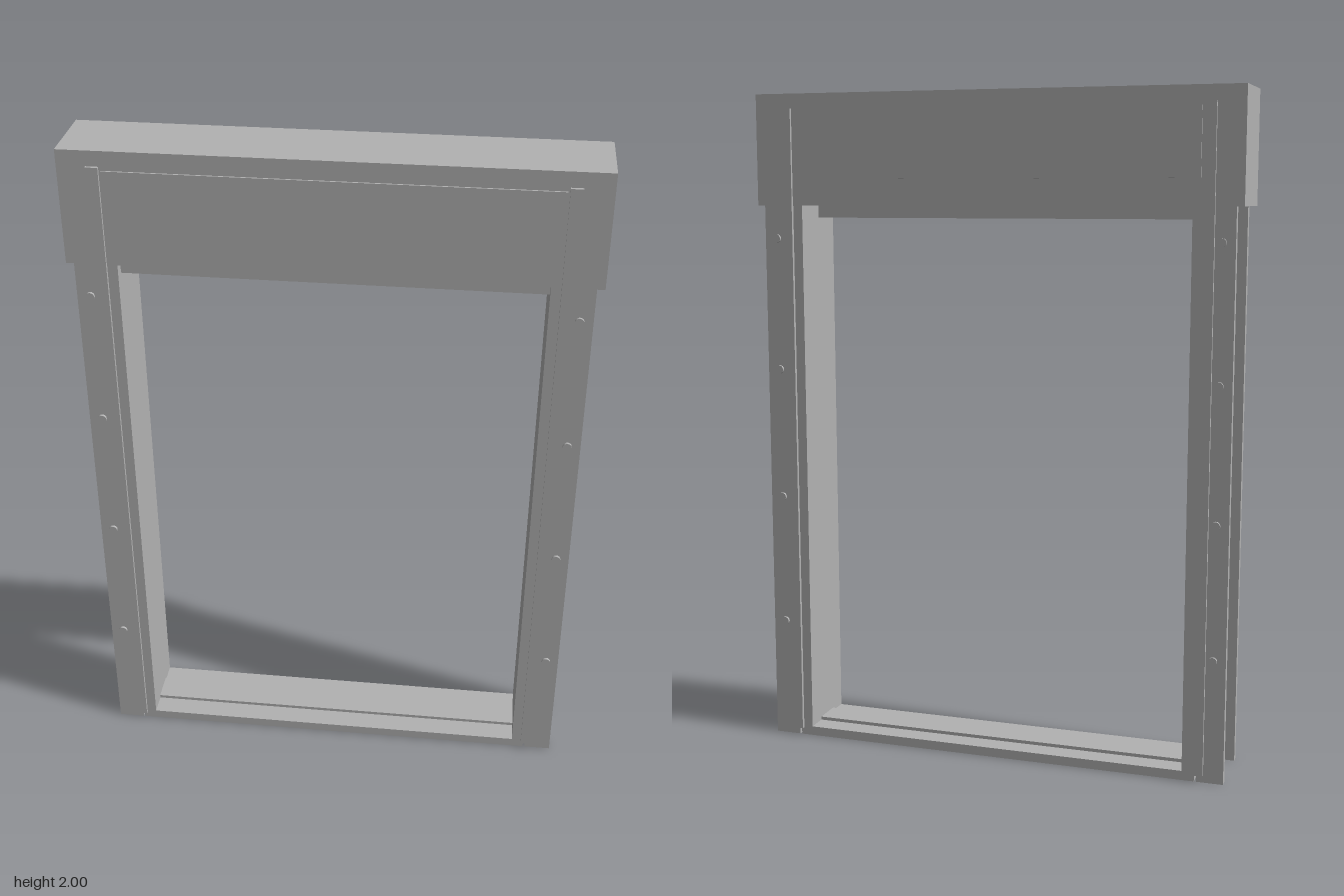
import * as THREE from 'three';

export function createModel() {
  const model = new THREE.Group();
  model.name = 'doorFrame';
  const grey = new THREE.MeshStandardMaterial({ color: 0xb2b2b2 });
  grey.name = 'plain grey';

  // Box given by its minimum and maximum on each axis
  function box(name, [x0, x1], [y0, y1], [z0, z1]) {
    const mesh = new THREE.Mesh(new THREE.BoxGeometry(x1 - x0, y1 - y0, z1 - z0), grey);
    mesh.position.set((x0 + x1) / 2, (y0 + y1) / 2, (z0 + z1) / 2);
    mesh.name = name;
    model.add(mesh);
  }
  // Range on one axis, mirrored when s is -1
  const side = (s, a, b) => (s > 0 ? [a, b] : [-b, -a]);

  // Header housing and the bar beneath it
  box('header', [-0.74, 0.74], [1.67, 2], [-0.113, 0.113]);
  box('headerBar', [-0.595, 0.595], [1.632, 1.67], [0.005, 0.08]);

  // Sill with a raised threshold
  box('sill', [-0.632, 0.632], [0, 0.028], [-0.111, 0.111]);
  box('threshold', [-0.595, 0.595], [0.028, 0.038], [-0.045, 0.045]);

  const boltGeometry = new THREE.CylinderGeometry(0.013, 0.013, 0.012, 16).rotateX(Math.PI / 2);

  for (const x of [1, -1]) {
    // Jamb lining and the end of the bar inside the open channel
    box('jamb', side(x, 0.595, 0.634), [0.02, 1.67], [-0.111, 0.111]);
    box('barEnd', side(x, 0.634, 0.675), [1.615, 1.67], [0.005, 0.08]);

    for (const z of [1, -1]) {
      // Outer flange, cover strip and bolts
      box('flange', side(x, 0.638, 0.718), [0, 1.67], side(z, 0.088, 0.111));
      box('coverStrip', side(x, 0.624, 0.659), [0.022, 1.956], side(z, 0.108, 0.122));
      for (let i = 0; i < 4; i++) {
        const bolt = new THREE.Mesh(boltGeometry, grey);
        bolt.position.set(x * 0.68, 0.37 + i * 0.4, z * 0.113);
        bolt.name = 'bolt';
        model.add(bolt);
      }
    }
  }

  // Access panels on both faces of the header
  for (const z of [1, -1]) {
    box('headerPanel', [-0.618, 0.618], [1.748, 1.945], side(z, 0.111, 0.118));
  }
  return model;
}
